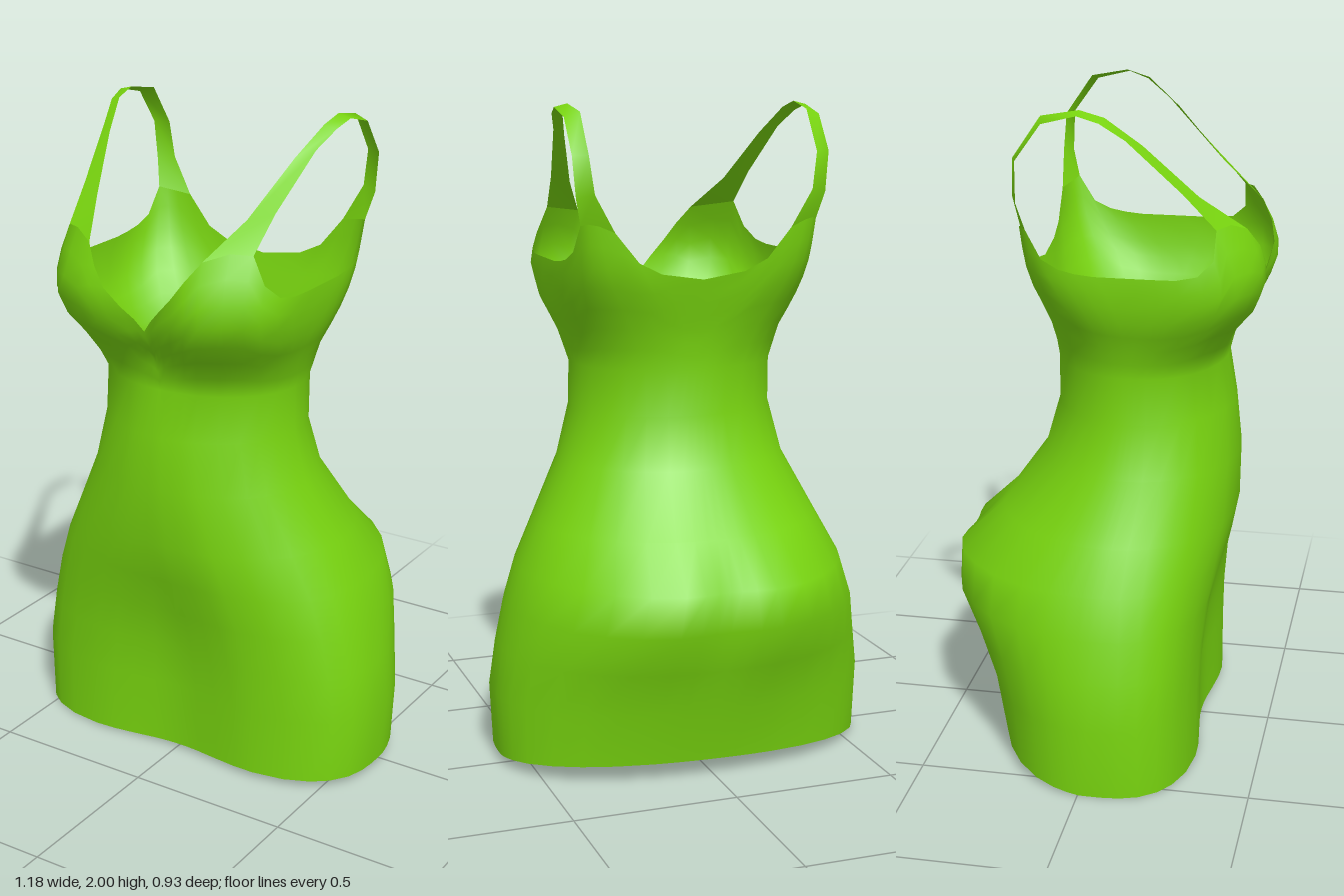
import * as THREE from 'three';

// Horizontal sections: y, half width, front z, back z, centre z,
// front squareness, back squareness, front centre dent, back centre dent
const SECTIONS = [
  [0.00, 0.582, 0.335, -0.318, 0.03, 3.0, 2.3, 0.05, 0],
  [0.22, 0.592, 0.335, -0.358, 0.03, 2.9, 2.15, 0.05, 0],
  [0.36, 0.572, 0.342, -0.418, 0.03, 2.75, 2.1, 0.045, 0.01],
  [0.49, 0.545, 0.355, -0.484, 0.03, 2.6, 2.1, 0.035, 0.035],
  [0.61, 0.508, 0.372, -0.488, 0.03, 2.45, 2.0, 0.015, 0.04],
  [0.74, 0.445, 0.385, -0.342, 0.05, 2.3, 2.0, 0, 0.01],
  [0.92, 0.355, 0.390, -0.205, 0.09, 2.15, 2.05, 0, 0],
  [1.08, 0.315, 0.375, -0.160, 0.10, 2.05, 2.05, 0, 0],
  [1.22, 0.313, 0.350, -0.160, 0.10, 2.1, 2.15, 0, 0],
  [1.32, 0.340, 0.395, -0.170, 0.12, 2.3, 2.5, 0.025, 0],
  [1.40, 0.375, 0.458, -0.190, 0.13, 2.8, 3.0, 0.035, 0],
  [1.50, 0.390, 0.488, -0.215, 0.14, 3.3, 4.5, 0.04, 0],
  [1.57, 0.387, 0.476, -0.220, 0.12, 3.1, 6.0, 0.03, 0],
  [1.68, 0.390, 0.420, -0.225, 0.10, 2.8, 8.0, 0, 0],
];

// Top edge height by angle in degrees, from front centre to back centre
const TOP_EDGE = [
  [0, 1.42], [1, 1.455], [3, 1.49], [8, 1.54], [14, 1.595], [21, 1.65], [34, 1.675],
  [47, 1.67], [58, 1.59], [70, 1.55], [80, 1.54], [87, 1.54], [90, 1.54], [93, 1.54],
  [98, 1.545], [105, 1.555], [115, 1.58], [128, 1.66], [140, 1.665], [152, 1.66],
  [164, 1.64], [171, 1.55], [176, 1.515], [180, 1.495],
];

// Point on the body surface at a height and angle
function bodyPoint(y, degrees) {
  let i = 0;
  while (i < SECTIONS.length - 2 && y > SECTIONS[i + 1][0]) i++;
  const lo = SECTIONS[i], hi = SECTIONS[i + 1];
  const t = THREE.MathUtils.clamp((y - lo[0]) / (hi[0] - lo[0]), 0, 1);
  const [, w, front, back, zc, nf, nb, df, db] = lo.map((v, k) => v + (hi[k] - v) * t);
  const a = THREE.MathUtils.degToRad(degrees);
  const s = Math.sin(a), c = Math.cos(a);
  const isFront = c >= 0;
  const n = isFront ? nf : nb;
  const x = w * Math.sign(s) * Math.pow(Math.abs(s), 2 / n);
  let z = zc + ((isFront ? front : back) - zc) * Math.pow(Math.abs(c), 2 / n);
  // The dent is broad on the skirt front, narrow between the bust and behind
  const dentWidth = isFront && y < 0.9 ? 0.24 : 0.12;
  z += Math.exp(-((x / dentWidth) ** 2)) * (isFront ? -df : db);
  return new THREE.Vector3(x, y, z);
}

// Smooth surface through rows of points
function loft(rows, closed) {
  const n = rows[0].length;
  const index = [];
  for (let r = 0; r < rows.length - 1; r++) {
    for (let i = 0; i < (closed ? n : n - 1); i++) {
      const j = (i + 1) % n;
      const a = r * n + i, b = r * n + j;
      index.push(a, b, b + n, a, b + n, a + n);
    }
  }
  const geometry = new THREE.BufferGeometry().setFromPoints(rows.flat());
  geometry.setIndex(index);
  geometry.computeVertexNormals();
  return geometry;
}

function bodyGeometry() {
  const mirrored = TOP_EDGE.slice(1, -1).reverse().map(([d, y]) => [360 - d, y]);
  const columns = [...TOP_EDGE, ...mirrored];
  const rows = [];
  // Skirt and waist, with the hem rising a little at the back
  for (const [y] of SECTIONS.slice(0, 9)) {
    rows.push(columns.map(([d]) => {
      const p = bodyPoint(y, d);
      if (y === 0) p.y = 0.012 + 0.02 * p.x + 0.13 * Math.max(0, -p.z);
      p.y = Math.max(p.y, 0);
      return p;
    }));
  }
  // Bodice, ending on the neckline and armholes
  const waist = 1.22, steps = 7;
  for (let k = 1; k <= steps; k++) {
    rows.push(columns.map(([d, top]) => bodyPoint(waist + (top - waist) * k / steps, d)));
  }
  return loft(rows, true);
}

// Flat strap between a neck-side rail and an arm-side rail
function strapGeometry(side) {
  const v = (x, y, z) => new THREE.Vector3(x, y, z);
  const neckRail = [
    bodyPoint(1.65, 21), v(0.255, 1.75, 0.29), v(0.315, 1.90, 0.14), v(0.35, 1.98, 0.04),
    v(0.355, 2.0, -0.03), v(0.35, 1.98, -0.14), v(0.35, 1.86, -0.222),
    v(0.335, 1.75, -0.228), bodyPoint(1.64, 164),
  ];
  const armRail = [
    bodyPoint(1.67, 47), v(0.325, 1.77, 0.255), v(0.36, 1.92, 0.10), v(0.385, 1.97, 0.03),
    v(0.395, 1.99, -0.03), v(0.395, 1.965, -0.13), v(0.395, 1.86, -0.205),
    v(0.385, 1.74, -0.207), bodyPoint(1.66, 128),
  ];
  const flip = (p) => p.setX(p.x * side);
  const rows = neckRail.map((p, i) => {
    const pair = [flip(p), flip(armRail[i])];
    return side > 0 ? pair : pair.reverse();
  });
  return loft(rows, false);
}

export function createModel() {
  const green = new THREE.MeshStandardMaterial({ color: 0x78d40f, side: THREE.DoubleSide });
  green.name = 'green fabric';
  const group = new THREE.Group();
  group.name = 'dress';
  const add = (name, geometry) => {
    const mesh = new THREE.Mesh(geometry, green);
    mesh.name = name;
    group.add(mesh);
  };
  add('dressBody', bodyGeometry());
  add('leftStrap', strapGeometry(1));
  add('rightStrap', strapGeometry(-1));
  return group;
}
